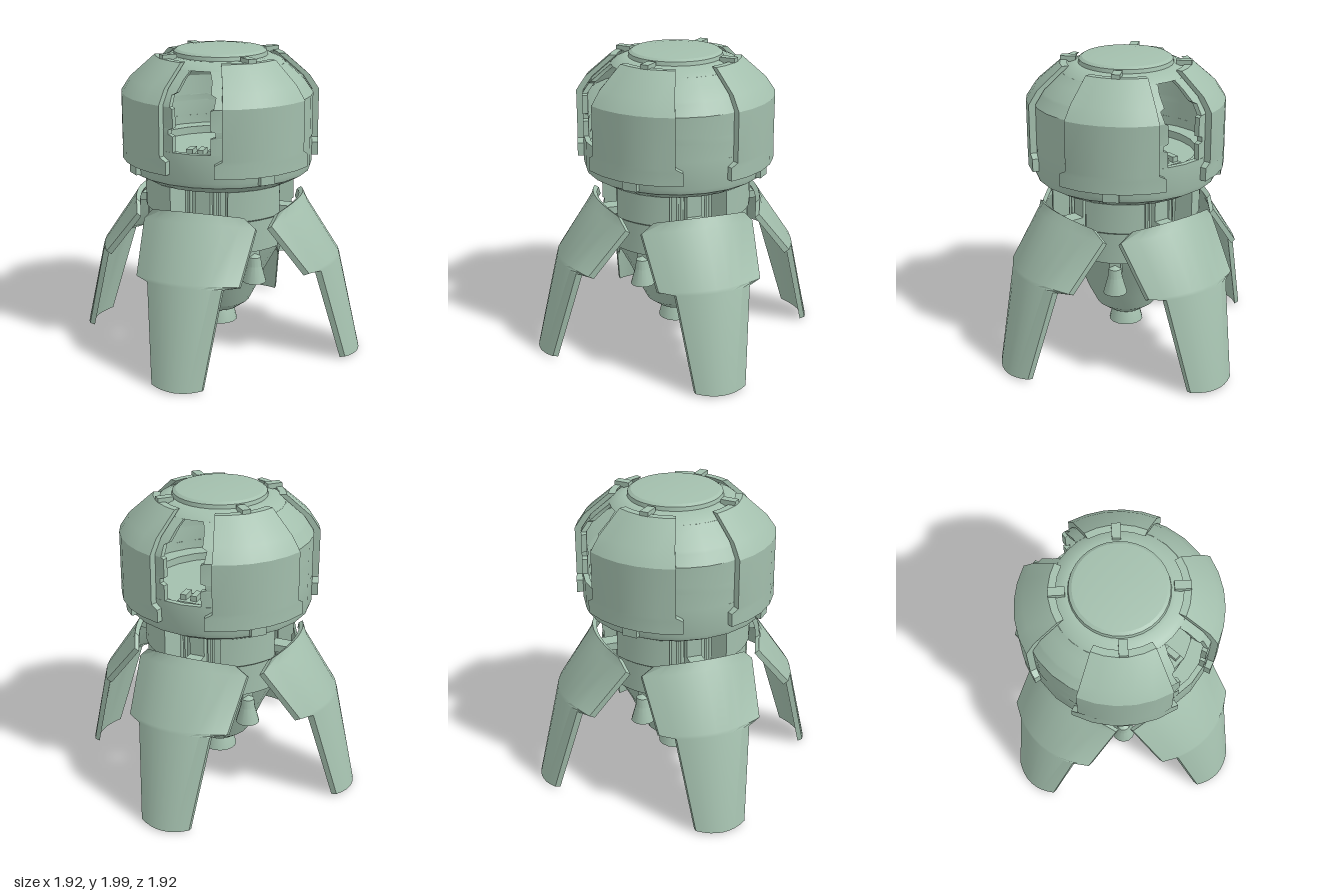
import * as THREE from 'three';
import { toCreasedNormals } from 'three/addons/utils/BufferGeometryUtils.js';

const material = new THREE.MeshStandardMaterial({ color: 0xa3bfad, side: THREE.DoubleSide });

function part(name, geometry, parent, x = 0, y = 0, z = 0) {
  const mesh = new THREE.Mesh(geometry, material);
  mesh.name = name;
  mesh.position.set(x, y, z);
  parent.add(mesh);
  return mesh;
}

// Group turned about the vertical axis
function turned(name, angle, parent) {
  const group = new THREE.Group();
  group.name = name;
  group.rotation.y = angle;
  parent.add(group);
  return group;
}

const box = (w, h, d) => new THREE.BoxGeometry(w, h, d);

// Surface of revolution with sharp edges kept
function lathe(points, segments = 24) {
  const profile = points.map(([r, y]) => new THREE.Vector2(r, y));
  return toCreasedNormals(new THREE.LatheGeometry(profile, segments), 0.45);
}

// Closed slab from two matching grids (rows upward, columns to the right)
function slab(outer, inner) {
  const pos = [];
  const quad = (a, b, c, d) => pos.push(...a, ...b, ...c, ...a, ...c, ...d);
  const m = outer.length - 1, n = outer[0].length - 1;
  for (let i = 0; i < m; i++) {
    for (let j = 0; j < n; j++) {
      quad(outer[i][j], outer[i][j + 1], outer[i + 1][j + 1], outer[i + 1][j]);
      quad(inner[i][j + 1], inner[i][j], inner[i + 1][j], inner[i + 1][j + 1]);
    }
    quad(inner[i][0], outer[i][0], outer[i + 1][0], inner[i + 1][0]);
    quad(outer[i][n], inner[i][n], inner[i + 1][n], outer[i + 1][n]);
  }
  for (let j = 0; j < n; j++) {
    quad(inner[0][j], inner[0][j + 1], outer[0][j + 1], outer[0][j]);
    quad(outer[m][j], outer[m][j + 1], inner[m][j + 1], inner[m][j]);
  }
  const g = new THREE.BufferGeometry();
  g.setAttribute('position', new THREE.Float32BufferAttribute(pos, 3));
  return toCreasedNormals(g, 0.45);
}

// Curved wall about the vertical axis; rows are [y, radius, start angle, end angle]
function wall(rows, n, thickness) {
  const grid = (inset) => rows.map(([y, r, a, b]) =>
    Array.from({ length: n + 1 }, (_, j) => {
      const t = a + (b - a) * j / n;
      return [(r - inset) * Math.sin(t), y, (r - inset) * Math.cos(t)];
    }));
  return slab(grid(0), grid(thickness));
}

// Bowed leg shell; rows are [y, z, half width, bow in z, drop in y, inset z, inset y]
function legShell(rows, n = 8) {
  const grid = (k) => rows.map(([y, z, w, bow, drop, iz, iy]) =>
    Array.from({ length: n + 1 }, (_, j) => {
      const t = j / n * 2 - 1;
      return [w * t, y - drop * t * t - k * iy, z - bow * t * t - k * iz];
    }));
  return slab(grid(0), grid(1));
}

// Hull radius at a height between floor rim and roof
function hullRadius(y) {
  if (y < 1.71) return 0.6;
  if (y < 1.79) return 0.6 - (y - 1.71) / 0.08 * 0.055;
  return 0.545 - (y - 1.79) / 0.13 * 0.145;
}

function buildCabin(root) {
  const cabin = turned('cabin', 0, root);

  // Lower bowl with floor, and roof with hatch dome
  part('cabinBase', lathe([
    [0, 1.16], [0.45, 1.16], [0.5, 1.168], [0.59, 1.22], [0.6, 1.25], [0.6, 1.43],
    [0.565, 1.43], [0.565, 1.37], [0.46, 1.37], [0.46, 1.32], [0, 1.32]]), cabin);
  part('roof', lathe([
    [0, 1.93], [0.37, 1.905], [0.415, 1.905], [0.39, 1.925], [0.33, 1.95],
    [0.305, 1.95], [0.3, 1.975], [0.28, 1.988], [0.2, 1.997], [0, 2]], 32), cabin);

  // Side walls leave stepped window openings at front and back
  const windowEdge = [
    [1.43, 0.12], [1.53, 0.12], [1.54, 0.15], [1.57, 0.15], [1.58, 0.12], [1.7, 0.12],
    [1.71, 0.14], [1.775, 0.14], [1.79, 0.11], [1.86, 0.09], [1.905, 0.065]];
  const rows = windowEdge.map(([y, w]) => {
    const r = hullRadius(y), a = Math.asin(w / r);
    return [y, r, a, Math.PI - a];
  });
  for (const side of [0, 1]) {
    part('sideWall', wall(rows, 12, 0.035), turned('sideWallGroup', side * Math.PI, cabin));
  }

  // Consoles on the floor inside each window
  for (const side of [0, 1]) {
    const console = turned('console', side * Math.PI, cabin);
    part('consoleBase', box(0.2, 0.06, 0.14), console, 0, 1.35, 0.38);
    for (const x of [-0.07, 0, 0.07]) {
      part('consoleBlock', box(0.04, 0.04, 0.09), console, x, 1.395, 0.38);
    }
  }

  // Four armour panels on the diagonals; rows are [y, radius, half gap beside the panel]
  const panelRows = [
    [1.29, 0.64, 0.155], [1.375, 0.64, 0.155], [1.4, 0.64, 0.2], [1.72, 0.64, 0.2],
    [1.81, 0.58, 0.185], [1.95, 0.42, 0.13]
  ].map(([y, r, gap]) => {
    const half = Math.PI / 4 - Math.asin(gap / r);
    return [y, r, -half, half];
  });
  const panelGeometry = wall(panelRows, 5, 0.045);
  for (let i = 0; i < 4; i++) {
    const panel = turned('armourPanel', Math.PI / 4 + i * Math.PI / 2, cabin);
    part('panelShell', panelGeometry, panel);
    part('panelTab', box(0.1, 0.06, 0.05), panel, 0, 1.263, 0.6);
    part('roofClip', box(0.055, 0.035, 0.1), panel, 0, 1.958, 0.37);
  }
}

function buildEngine(root) {
  const engine = turned('engine', 0, root);
  part('core', lathe([[0.34, 0.72], [0.34, 1.17]]), engine);
  part('lowerCone', lathe([
    [0, 0.22], [0.12, 0.22], [0.2, 0.28], [0.26, 0.4], [0.31, 0.52],
    [0.39, 0.67], [0.42, 0.75], [0.3, 0.76]]), engine);
  part('mainNozzle', lathe([
    [0.07, 0.24], [0.1, 0.12], [0.115, 0.12], [0.1, 0.18], [0.075, 0.24]].reverse(), 16), engine);

  const h = 0.39;
  const podGeometry = wall([
    [0.755, 0.48, -h, h], [0.96, 0.48, -h, h], [0.97, 0.492, -h, h], [1.165, 0.492, -h, h]], 5, 0.16);
  const nozzleGeometry = lathe([[0.04, 0.7], [0.035, 0.66], [0.06, 0.555], [0.076, 0.555], [0.047, 0.66], [0.04, 0.72], [0, 0.74]], 14);
  for (let i = 0; i < 4; i++) {
    // Diagonal pod with a small thruster underneath
    const pod = turned('pod', Math.PI / 4 + i * Math.PI / 2, engine);
    part('podShell', podGeometry, pod);
    part('thruster', nozzleGeometry, pod, 0, 0, 0.47);
    part('thrusterMount', box(0.07, 0.1, 0.12), pod, 0, 0.71, 0.41);

    // Recess with pipes between pods
    const recess = turned('recess', i * Math.PI / 2, engine);
    part('spine', box(0.1, 0.42, 0.06), recess, 0, 0.96, 0.35);
    for (const s of [-1, 1]) {
      for (const x of [0.08, 0.11]) {
        part('pipe', new THREE.CylinderGeometry(0.01, 0.01, 0.42, 8), recess, s * x, 0.96, 0.37);
      }
      const spike = part('spike', new THREE.ConeGeometry(0.025, 0.08, 4), recess, s * 0.12, 0.715, 0.43);
      spike.rotation.x = Math.PI;
    }
  }
}

function buildLegs(root) {
  const shell = legShell([
    [0.015, 0.962, 0.165, 0.055, -0.01, 0.035, 0.008],
    [0.645, 0.807, 0.242, 0.06, 0.01, 0.04, 0.01],
    [0.665, 0.8, 0.335, 0.11, 0.02, 0.035, 0.018],
    [0.985, 0.585, 0.37, 0.135, 0.04, 0.028, 0.02],
    [1.045, 0.545, 0.3, 0.065, 0.025, 0.028, 0.02]]);
  for (let i = 0; i < 4; i++) {
    const leg = turned('leg', i * Math.PI / 2, root);
    part('legShell', shell, leg);
    part('legArm', box(0.1, 0.05, 0.22), leg, 0, 0.96, 0.45);
  }
}

export function createModel() {
  const root = new THREE.Group();
  root.name = 'landerCapsule';
  buildCabin(root);
  buildEngine(root);
  buildLegs(root);
  return root;
}
